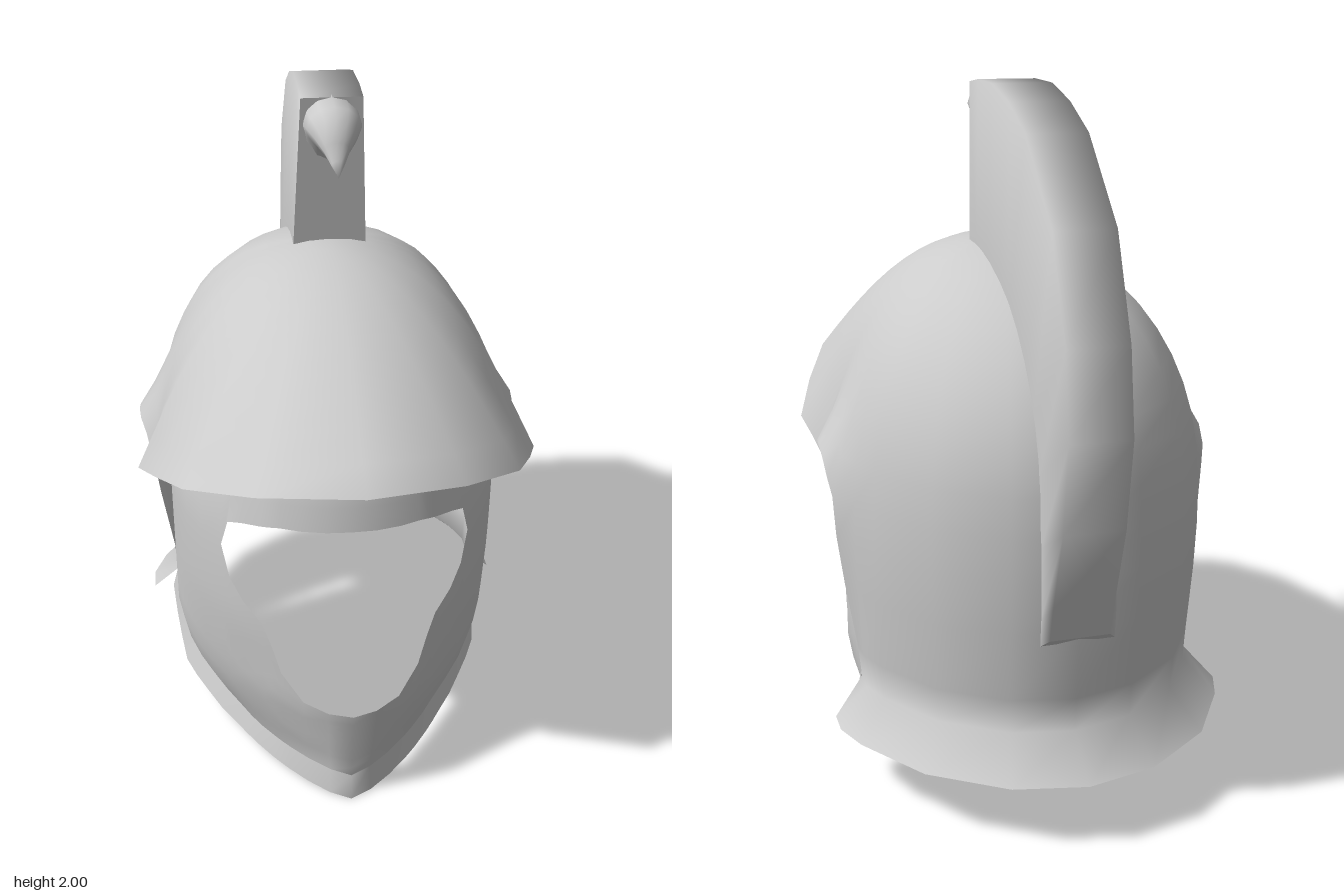
import * as THREE from 'three';
import { mergeVertices, mergeGeometries } from 'three/addons/utils/BufferGeometryUtils.js';

const material = new THREE.MeshStandardMaterial({ color: 0xcccccc, side: THREE.DoubleSide });

// Piecewise linear lookup in [[key, value], ...] with rising keys
function lookup(table, k) {
  if (k <= table[0][0]) return table[0][1];
  for (let i = 1; i < table.length; i++) {
    const [k0, v0] = table[i - 1], [k1, v1] = table[i];
    if (k <= k1) return v0 + (v1 - v0) * (k - k0) / (k1 - k0);
  }
  return table[table.length - 1][1];
}

// Surface through columns (left to right) of [x, y, z] points (top to bottom)
function sheet(columns) {
  const rows = columns[0].length, index = [];
  for (let i = 0; i < columns.length - 1; i++) {
    for (let j = 0; j < rows - 1; j++) {
      const a = i * rows + j, c = a + rows;
      index.push(a, a + 1, c, c, a + 1, c + 1);
    }
  }
  const g = new THREE.BufferGeometry();
  g.setAttribute('position', new THREE.Float32BufferAttribute(columns.flat(2), 3));
  g.setIndex(index);
  return g;
}

// Join sheets into one smooth mesh
function smoothMesh(name, ...sheets) {
  const g = mergeVertices(mergeGeometries(sheets), 1e-4);
  g.computeVertexNormals();
  const mesh = new THREE.Mesh(g, material);
  mesh.name = name;
  return mesh;
}

const flip = (column) => column.map(([x, y, z]) => [-x, y, z]);
// Columns running from the front centre round the +x side, completed on the other side
const bothFromFront = (half) => [...half.slice(1).reverse().map(flip), ...half];
// Columns running from the +x side to the back centre, completed on the other side
const bothToBack = (half) => [...half, ...half.slice(0, -1).reverse().map(flip)];

// Rim of the dome, front to back: x, y, z, and how late the surface leaves the round dome
const RIM = [
  [0, 1.24, 0.865, 3], [0.27, 1.19, 0.75, 3], [0.45, 1.12, 0.58, 3.5], [0.525, 1.05, 0.4, 4.5],
  [0.58, 0.98, 0.23, 5], [0.56, 0.94, 0.13, 6], [0.545, 0.9, 0.04, 7], [0.56, 0.96, 0, 9],
  [0.575, 0.985, -0.05, 9], [0.58, 0.99, -0.1, 9], [0.58, 0.97, -0.165, 8], [0.575, 0.92, -0.21, 7],
  [0.565, 0.87, -0.228, 6], [0.515, 0.87, -0.3, 2], [0.48, 0.87, -0.39, 1], [0.36, 0.87, -0.57, 1],
  [0.18, 0.87, -0.695, 1], [0, 0.87, -0.735, 1],
];
const DOME = { x: 0.515, y: 0.69, z: 0.735, base: 0.87, round: 0.9 };

function buildShell(group) {
  // Each column follows the round dome, then sweeps out to its rim point
  const dome = RIM.map(([x, y, z, late]) => {
    const turn = Math.atan2(x / DOME.x, z / DOME.z);
    const end = Math.acos(((y - DOME.base) / DOME.y) ** (1 / DOME.round));
    const onDome = (t) => [DOME.x * Math.sin(turn) * Math.sin(t), DOME.z * Math.cos(turn) * Math.sin(t)];
    const [ex, ez] = onDome(end);
    return Array.from({ length: 13 }, (_, j) => {
      const s = j / 12, [dx, dz] = onDome(s * end), k = s ** late;
      return [dx + (x - ex) * k, DOME.base + DOME.y * Math.cos(s * end) ** DOME.round, dz + (z - ez) * k];
    });
  });
  // Neck wall and its flared hem hang from the rear rim: y, scale, ear flare left
  const levels = [[0.87, 1, 1], [0.75, 1.005, 0.8], [0.6, 0.995, 0.5], [0.4, 0.97, 0.1], [0.3, 0.96, 0], [0.2, 1.13, 0]];
  const neck = RIM.slice(12).map(([x, , z]) => {
    const flare = Math.max(0, x - 0.515);
    return levels.map(([y, s, f]) => [(x - flare) * s + flare * f, y, z * s]);
  });
  group.add(smoothMesh('shell', sheet(bothFromFront(dome)), sheet(bothToBack(neck))));
}

function buildMask(group) {
  const depth = [[0, 0.61], [0.1, 0.605], [0.36, 0.645], [0.6, 0.61], [0.95, 0.57], [1.1, 0.545], [1.3, 0.45]];
  const width = [[0.1, 0.42], [0.2, 0.47], [0.33, 0.495], [0.9, 0.495], [1.1, 0.45], [1.3, 0.36]];
  // Plan exponent: keeled at the chin, elliptical at the brow
  const plan = [[0.1, 1.35], [0.4, 1.6], [0.6, 1.9], [0.8, 2]];
  const bottom = [[-0.2, 0.32], [-0.05, 0.2], [0.1, 0.13], [0.35, 0.09]];
  const trimBottom = [[-0.24, 0.21], [-0.12, 0.15], [0, 0.09], [0.2, 0.04], [0.4, 0.02], [0.6, 0.005]];
  // Opening edges by distance from the centre line; they meet at the corner
  const openLow = [[0, 0.35], [0.07, 0.353], [0.14, 0.37], [0.2, 0.45], [0.225, 0.54], [0.25, 0.61],
    [0.3, 0.66], [0.335, 0.72], [0.355, 0.82]];
  const openHigh = [[0, 0.945], [0.2, 0.94], [0.3, 0.92], [0.335, 0.905], [0.355, 0.82]];

  // Columns: positions across the front, then straight back along the cheeks
  const columns = [0, 0.07, 0.14, 0.2, 0.225, 0.25, 0.3, 0.335, 0.355, 0.41, 0.45, 0.48, 0.495]
    .map((x) => ({ x, s: Math.min(1, x / 0.495), back: 0 }));
  for (const back of [0.07, 0.14, 0.22]) columns.push({ x: 0.495, s: 1, back });
  const point = ({ s, back }, y) => {
    const n = lookup(plan, y);
    return [lookup(width, y) * s, y, lookup(depth, y) * (1 - s ** n) ** (1 / n) - back];
  };
  const strip = (c, y0, y1, n) => Array.from({ length: n + 1 }, (_, j) => point(c, y0 + (y1 - y0) * j / n));
  const low = (c) => lookup(bottom, point(c, 0.15)[2]);

  const upper = columns.map((c) => strip(c, c.s < 1 ? 1.3 : 1.02, lookup(openHigh, c.x), 5));
  const lower = columns.map((c) => strip(c, lookup(openLow, c.x), low(c), 8));
  group.add(smoothMesh('faceMask', sheet(bothFromFront(upper)), sheet(bothFromFront(lower))));

  // Thin lip under the chin and cheeks
  const trim = columns.map((c) => {
    const [x, y, z] = point(c, low(c));
    const outZ = z + (c.back ? -0.1 * c.back : 0.01);
    return [[x, y, z], [x * 1.05, lookup(trimBottom, outZ), outZ]];
  });
  group.add(smoothMesh('chinTrim', sheet(bothFromFront(trim))));
}

function buildCrest(group) {
  // Stations front to tail: base z, y, then crown z, y
  const stations = [
    [-0.025, 1.53, 0.04, 1.99], [-0.1, 1.53, -0.05, 2], [-0.2, 1.515, -0.2, 1.995], [-0.32, 1.47, -0.35, 1.955],
    [-0.42, 1.41, -0.5, 1.885], [-0.55, 1.3, -0.72, 1.67], [-0.64, 1.17, -0.83, 1.4],
    [-0.69, 1.03, -0.865, 1.17], [-0.718, 0.85, -0.83, 0.92], [-0.722, 0.65, -0.76, 0.69], [-0.715, 0.57, -0.735, 0.59],
  ];
  // Half section: fraction from base to crown, half width
  const section = [[0, 0.105], [1, 0.085]];
  const at = ([z0, y0, z1, y1], t, x) => [x, y0 + (y1 - y0) * t, z0 + (z1 - z0) * t];
  const across = [...section.map(([t, w]) => [t, -w]), ...section.slice().reverse()];
  group.add(smoothMesh('crest',
    sheet(across.map(([t, x]) => stations.map((s) => at(s, t, x)).reverse()))));

  // Flat closing faces at both ends
  const cap = (s, side) => sheet([-side, side].map((m) =>
    section.map(([t, w]) => at(s, t, w * m)).reverse()));
  group.add(smoothMesh('crestFront', cap(stations[0], 1)));
  group.add(smoothMesh('crestTail', cap(stations[stations.length - 1], -1)));

  // Hooked tip: rings given by top z, y, bottom z, y and half width
  const rings = [
    [-0.02, 1.995, 0.01, 1.8, 0.075], [0.05, 1.99, 0.05, 1.85, 0.08], [0.11, 1.985, 0.09, 1.865, 0.075],
    [0.155, 1.965, 0.125, 1.865, 0.06], [0.178, 1.91, 0.16, 1.857, 0.035],
    [0.195, 1.865, 0.19, 1.842, 0.018], [0.215, 1.825, 0.215, 1.825, 0],
  ];
  const tip = Array.from({ length: 13 }, (_, i) => {
    const a = i / 12 * Math.PI * 2;
    return rings.map((r) => at(r, (1 + Math.cos(a)) / 2, -Math.sin(a) * r[4]));
  });
  group.add(smoothMesh('crestTip', sheet(tip)));
}

export function createModel() {
  const helmet = new THREE.Group();
  helmet.name = 'helmet';
  buildShell(helmet);
  buildMask(helmet);
  buildCrest(helmet);
  return helmet;
}
